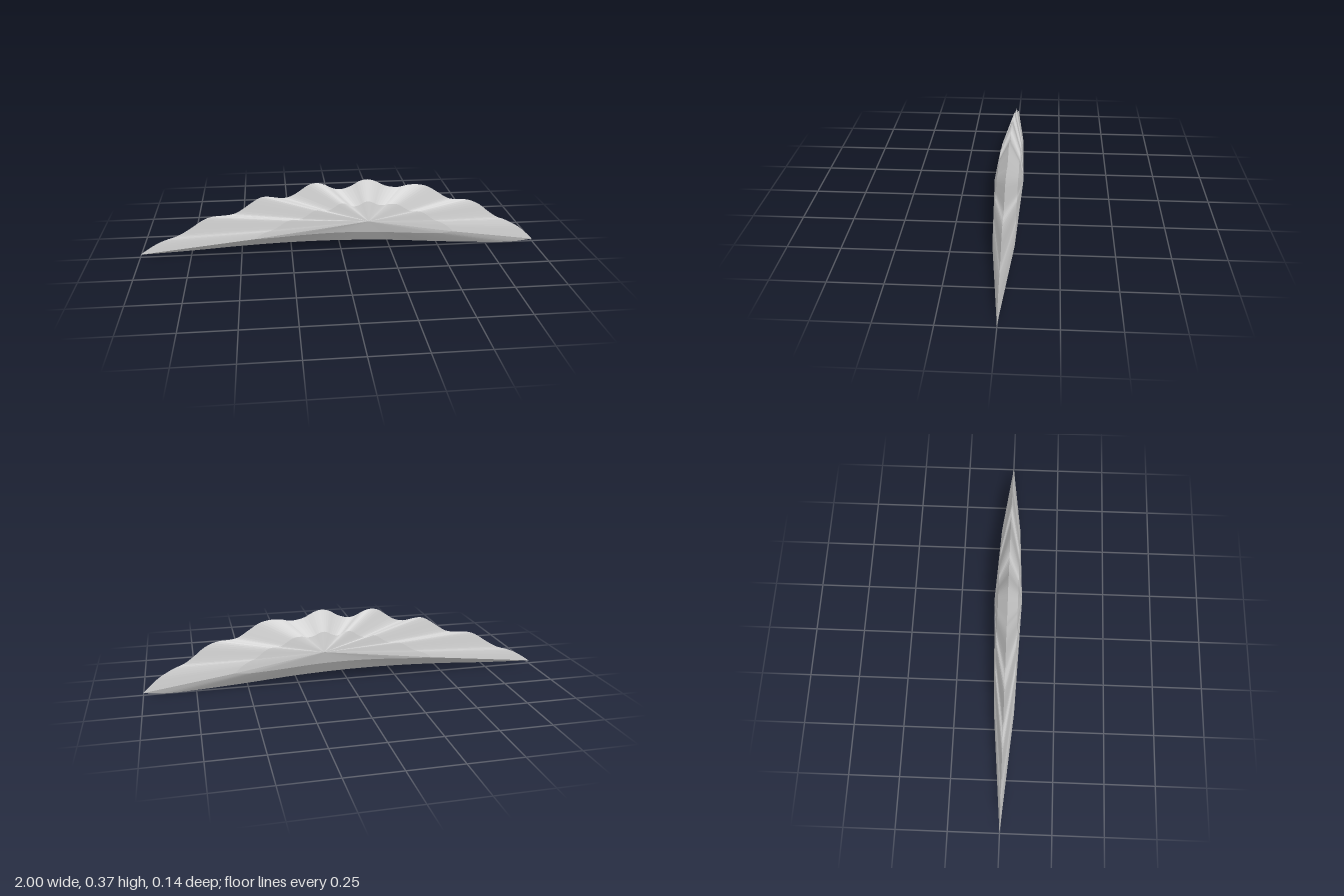
import * as THREE from 'three';

// Silhouette in the z = 0 plane: smooth belly and scalloped crest
const BELLY = [
  [-1, 0.015], [-0.75, 0.026], [-0.5, 0.041], [-0.25, 0.05], [0, 0.05],
  [0.25, 0.04], [0.5, 0.021], [0.7, 0.008], [0.88, 0.001], [1, 0.012],
];
const CREST = [
  [1, 0.012], [0.97, 0.042], [0.92, 0.085], [0.85, 0.125], [0.8, 0.145], [0.75, 0.18],
  [0.7, 0.22], [0.64, 0.245], [0.57, 0.25], [0.53, 0.262], [0.48, 0.295], [0.43, 0.325],
  [0.38, 0.336], [0.33, 0.335], [0.28, 0.325], [0.22, 0.335], [0.17, 0.36], [0.13, 0.371],
  [0.09, 0.363], [0.05, 0.34], [0, 0.324], [-0.04, 0.33], [-0.08, 0.35], [-0.12, 0.36],
  [-0.16, 0.352], [-0.2, 0.325], [-0.24, 0.3], [-0.29, 0.288], [-0.37, 0.299], [-0.42, 0.283],
  [-0.5, 0.228], [-0.55, 0.21], [-0.63, 0.204], [-0.68, 0.188], [-0.75, 0.142],
  [-0.81, 0.108], [-0.88, 0.085], [-0.94, 0.055], [-1, 0.015],
];
const CENTRE = [0.13, 0.175];
const DEPTH = 0.07;

const spline = (pts, n) =>
  new THREE.SplineCurve(pts.map(([x, y]) => new THREE.Vector2(x, y))).getPoints(n).slice(0, -1);

// One bulging face: outline ring, half-size ring, then a central peak
function shellSide(outline, sign) {
  const at = (p, scale) => [
    CENTRE[0] + (p.x - CENTRE[0]) * scale,
    CENTRE[1] + (p.y - CENTRE[1]) * scale,
    sign * DEPTH * Math.sqrt(1 - scale),
  ];
  const positions = [];
  const tri = (a, b, c) => positions.push(...a, ...(sign > 0 ? b : c), ...(sign > 0 ? c : b));
  outline.forEach((p, i) => {
    const q = outline[(i + 1) % outline.length];
    tri(at(p, 1), at(q, 1), at(q, 0.5));
    tri(at(p, 1), at(q, 0.5), at(p, 0.5));
    tri(at(p, 0.5), at(q, 0.5), at(p, 0));
  });
  const geometry = new THREE.BufferGeometry();
  geometry.setAttribute('position', new THREE.Float32BufferAttribute(positions, 3));
  geometry.computeVertexNormals();
  return geometry;
}

export function createModel() {
  const group = new THREE.Group();
  group.name = 'scallopedBlade';
  const grey = new THREE.MeshStandardMaterial({ color: 0xcccccc });
  grey.name = 'light grey';
  const outline = [...spline(BELLY, 36), ...spline(CREST, 114)];
  for (const [name, sign] of [['frontFace', 1], ['backFace', -1]]) {
    const mesh = new THREE.Mesh(shellSide(outline, sign), grey);
    mesh.name = name;
    group.add(mesh);
  }
  return group;
}
